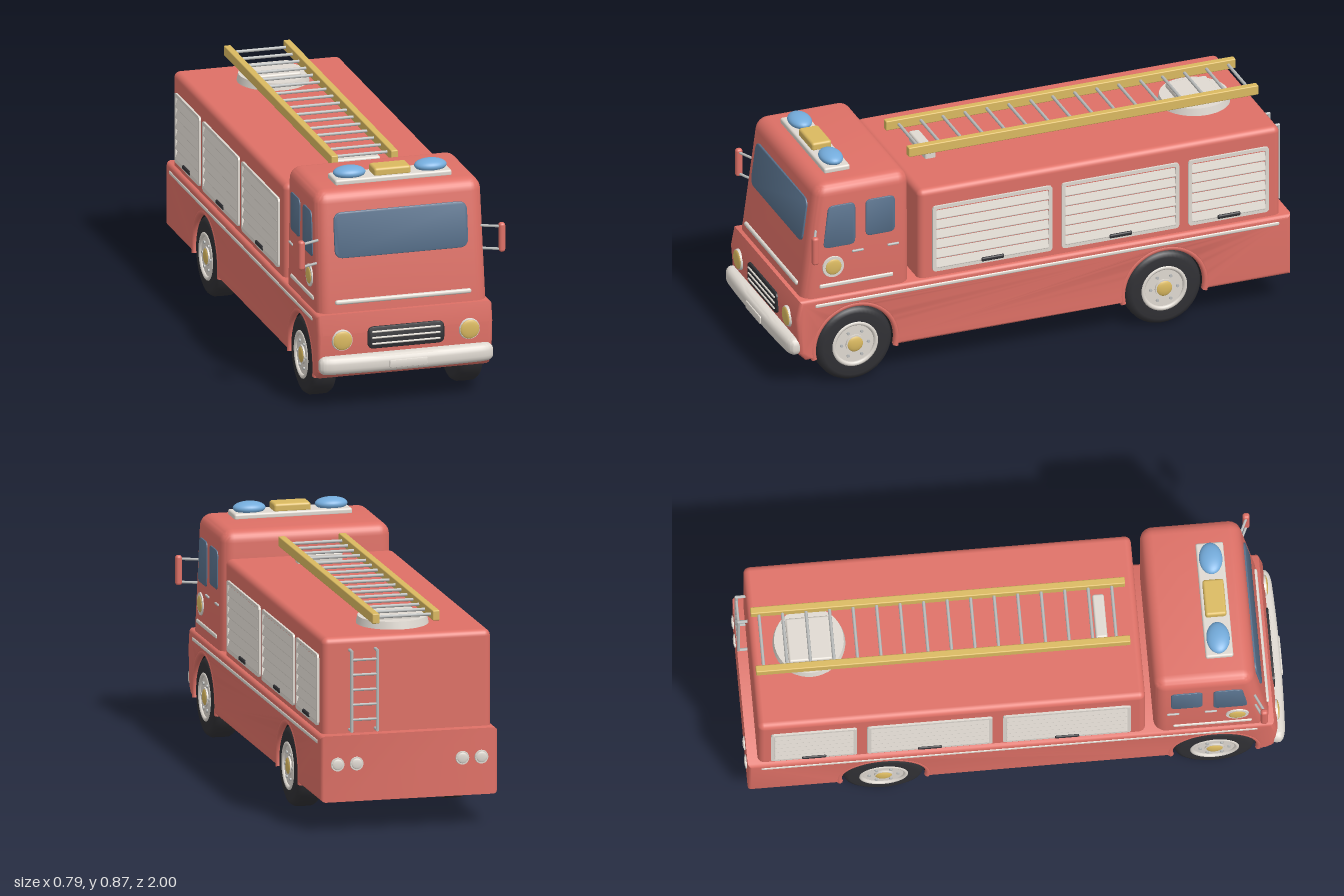
import * as THREE from 'three';
import { toCreasedNormals } from 'three/addons/utils/BufferGeometryUtils.js';
import { RoundedBoxGeometry } from 'three/addons/geometries/RoundedBoxGeometry.js';

const colour = (name, hex) => {
  const m = new THREE.MeshStandardMaterial({ color: hex });
  m.name = name;
  return m;
};
const red = colour('red paint', 0xde7066);
const cream = colour('cream trim', 0xdfd9d1);
const steel = colour('steel', 0xbbbdbc);
const gold = colour('gold', 0xdab960);
const glass = colour('window glass', 0x58718c);
const blue = colour('beacon blue', 0x74acdc);
const black = colour('rubber black', 0x303034);
const well = colour('wheel well black', 0x242427);
well.side = THREE.DoubleSide;

// Polygon with rounded corners
function roundedPoly(pts, r) {
  const v = pts.map(p => new THREE.Vector2(...p));
  const s = new THREE.Shape();
  v.forEach((p, i) => {
    const toward = q => p.clone().add(q.clone().sub(p).setLength(r));
    const a = toward(v[(i + v.length - 1) % v.length]), b = toward(v[(i + 1) % v.length]);
    i ? s.lineTo(a.x, a.y) : s.moveTo(a.x, a.y);
    s.quadraticCurveTo(p.x, p.y, b.x, b.y);
  });
  s.closePath();
  return s;
}
const rect = (w, h) => [[-w / 2, -h / 2], [w / 2, -h / 2], [w / 2, h / 2], [-w / 2, h / 2]];

// Extrusion whose bevel stays inside the outline; back at z = 0
function extrude(shape, depth, bevel = 0, curveSegments = 8) {
  const g = new THREE.ExtrudeGeometry(shape, {
    depth: depth - 2 * bevel, bevelEnabled: bevel > 0, bevelThickness: bevel,
    bevelSize: bevel, bevelOffset: -bevel, bevelSegments: 4, curveSegments
  });
  g.translate(0, 0, bevel);
  return toCreasedNormals(g, 0.6);
}

export function createModel() {
  const truck = new THREE.Group();
  truck.name = 'fireEngine';
  const add = (name, geo, mat, x = 0, y = 0, z = 0, parent = truck) => {
    const m = new THREE.Mesh(geo, mat);
    m.name = name;
    m.position.set(x, y, z);
    parent.add(m);
    return m;
  };
  const rod = (name, a, b, r, mat) => {
    const p = new THREE.Vector3(...a), q = new THREE.Vector3(...b), d = q.clone().sub(p);
    const m = add(name, new THREE.CylinderGeometry(r, r, d.length(), 8), mat);
    m.position.copy(p).lerp(q, 0.5);
    m.quaternion.setFromUnitVectors(new THREE.Vector3(0, 1, 0), d.normalize());
  };
  const box = (w, h, d, r) => new RoundedBoxGeometry(w, h, d, 4, r);

  // Round lamp with bezel, facing local +z
  const lamp = (name, x, y, z, turn, r, lensR, mat) => {
    const g = new THREE.Group();
    g.name = name;
    g.position.set(x, y, z);
    g.rotation.y = turn;
    truck.add(g);
    add('bezel', new THREE.CylinderGeometry(r * 0.92, r, 0.012, 32), cream, 0, 0, 0, g).rotation.x = Math.PI / 2;
    const lens = add('lens', new THREE.SphereGeometry(lensR, 24, 8, 0, Math.PI * 2, 0, Math.PI / 2), mat, 0, 0, 0.006, g);
    lens.rotation.x = Math.PI / 2;
    lens.scale.y = 0.2;
  };

  const axles = [0.727, -0.489], axleY = 0.15, arch = 0.156, floor = 0.116;
  const dip = Math.asin((axleY - floor) / arch);

  // Lower body with wheel arches, drawn from the side
  const side = new THREE.Shape();
  side.moveTo(-0.988, 0.364);
  side.lineTo(-0.988, floor);
  for (const z of [...axles].reverse()) side.absarc(z, axleY, arch, Math.PI + dip, -dip, true);
  for (const p of [[0.92, floor], [0.948, 0.145], [0.96, 0.29], [0.946, 0.364]]) side.lineTo(...p);
  side.closePath();
  const lower = extrude(side, 0.67, 0.018, 24);
  lower.rotateY(-Math.PI / 2).translate(0.335, 0, 0);
  add('lowerBody', lower, red);

  // Wheel wells, arch lips and wheels
  const tyre = new THREE.LatheGeometry([[0.085, -0.05], [0.125, -0.05], [0.14, -0.044], [0.149, -0.03], [0.15, 0],
    [0.149, 0.03], [0.14, 0.044], [0.125, 0.05], [0.085, 0.05]].map(p => new THREE.Vector2(...p)), 48);
  tyre.rotateZ(-Math.PI / 2);
  const liner = new THREE.CylinderGeometry(arch - 0.002, arch - 0.002, 0.63, 32, 1, true, -dip, Math.PI + 2 * dip);
  liner.rotateZ(Math.PI / 2);
  for (const z of axles) {
    add('wheelWell', liner, well, 0, axleY, z);
    for (const s of [1, -1]) {
      const lip = new THREE.TorusGeometry(0.164, 0.011, 10, 36, Math.PI + 2 * dip);
      lip.rotateZ(-dip).rotateY(Math.PI / 2);
      add('archLip', lip, red, s * 0.325, axleY, z);
      const wheel = new THREE.Group();
      wheel.name = 'wheel';
      wheel.position.set(s * 0.28, axleY, z);
      wheel.rotation.y = s > 0 ? 0 : Math.PI;
      truck.add(wheel);
      add('tyre', tyre, black, 0, 0, 0, wheel);
      add('rim', new THREE.CylinderGeometry(0.09, 0.09, 0.09, 36).rotateZ(Math.PI / 2), cream, 0, 0, 0, wheel);
      add('rimEdge', new THREE.TorusGeometry(0.083, 0.009, 8, 40).rotateY(Math.PI / 2), cream, 0.045, 0, 0, wheel);
      add('hubCollar', new THREE.CylinderGeometry(0.036, 0.036, 0.01, 28).rotateZ(Math.PI / 2), cream, 0.046, 0, 0, wheel);
      const hub = add('hub', new THREE.SphereGeometry(0.032, 20, 12), gold, 0.048, 0, 0, wheel);
      hub.scale.x = 0.3;
      for (let i = 0; i < 6; i++) {
        const a = i * Math.PI / 3;
        add('bolt', new THREE.CylinderGeometry(0.006, 0.006, 0.008, 8).rotateZ(Math.PI / 2), steel,
          0.047, 0.053 * Math.sin(a), 0.053 * Math.cos(a), wheel);
      }
    }
  }

  // Cab: rounded box with its front leaning back and its sides flaring slightly
  const lean = 0.13, frontZ = y => 0.875 + lean * (0.79 - y), tilt = -Math.atan(lean);
  const cab = box(0.638, 0.514, 0.369, 0.045);
  cab.translate(0, 0.557, 0.6905);
  const pos = cab.attributes.position;
  for (let i = 0; i < pos.count; i++) {
    const drop = 0.79 - pos.getY(i);
    pos.setX(i, pos.getX(i) * (1 + 0.035 * drop));
    if (pos.getZ(i) > 0.69) pos.setZ(i, pos.getZ(i) + lean * drop);
  }
  add('cab', toCreasedNormals(cab, 0.6), red);
  add('windscreen', extrude(roundedPoly(rect(0.51, 0.172), 0.035), 0.009, 0.003), glass, 0, 0.65, frontZ(0.65) - 0.003).rotation.x = tilt;
  add('frontTrim', box(0.52, 0.018, 0.018, 0.008), cream, 0, 0.403, frontZ(0.403)).rotation.x = tilt;

  // Rear equipment box
  add('equipmentBox', box(0.638, 0.423, 1.424, 0.024), red, 0, 0.5115, -0.238);

  // Grille, headlights and bumper
  add('grille', extrude(roundedPoly(rect(0.293, 0.084), 0.025), 0.012, 0.004), black, 0, 0.268, 0.953);
  for (const y of [0.291, 0.268, 0.245]) add('grilleBar', box(0.262, 0.007, 0.01, 0.003), cream, 0, y, 0.965);
  for (const s of [1, -1]) lamp('headlight', s * 0.243, 0.268, 0.96, 0, 0.041, 0.036, gold);
  const plan = new THREE.Shape();
  plan.moveTo(-0.3, 0.92);
  plan.lineTo(0.3, 0.92);
  plan.quadraticCurveTo(0.334, 0.925, 0.332, 0.965);
  plan.quadraticCurveTo(0.33, 0.985, 0.28, 0.99);
  plan.quadraticCurveTo(0, 1.004, -0.28, 0.99);
  plan.quadraticCurveTo(-0.33, 0.985, -0.332, 0.965);
  plan.quadraticCurveTo(-0.334, 0.925, -0.3, 0.92);
  add('bumper', extrude(plan, 0.068, 0.025, 12).rotateX(Math.PI / 2), cream, 0, 0.209, 0);
  add('numberPlate', extrude(roundedPoly(rect(0.146, 0.03), 0.006), 0.009, 0.003), cream, 0, 0.173, 0.992);

  // Roof light bar
  add('lightBarBase', box(0.446, 0.024, 0.102, 0.008), cream, 0, 0.821, 0.755);
  add('centreLight', box(0.14, 0.034, 0.078, 0.01), gold, 0, 0.844, 0.755);
  for (const s of [1, -1])
    add('beacon', new THREE.SphereGeometry(1, 32, 20), blue, s * 0.155, 0.845, 0.755).scale.set(0.061, 0.024, 0.043);

  // Both sides: windows, trim, shutters and mirrors
  for (const s of [1, -1]) {
    const turn = s * Math.PI / 2;
    const sideWindow = (name, pts) => {
      const shape = roundedPoly(pts.map(([z, y]) => [-s * z, y]), 0.022);
      add(name, extrude(shape, 0.009, 0.002), glass, s * 0.3155).rotation.y = turn;
    };
    sideWindow('frontSideWindow', [[0.724, 0.56], [0.85, 0.56], [0.83, 0.73], [0.724, 0.73]]);
    sideWindow('rearSideWindow', [[0.568, 0.583], [0.683, 0.583], [0.683, 0.73], [0.568, 0.73]]);
    for (const z of [0.714, 0.575]) add('doorHandle', box(0.014, 0.009, 0.046, 0.004), steel, s * 0.321, 0.53, z);
    add('cabSideTrim', box(0.014, 0.017, 0.29, 0.006), cream, s * 0.321, 0.407, 0.72);
    add('bodySideTrim', box(0.014, 0.016, 1.826, 0.006), cream, s * 0.331, 0.335, -0.027);
    lamp('sideLamp', s * 0.321, 0.481, 0.811, turn, 0.045, 0.031, gold);

    // Roller shutters with overlapping slats that face slightly upward
    for (const [z0, z1] of [[-0.05, 0.42], [-0.549, -0.088], [-0.902, -0.586]]) {
      const mid = (z0 + z1) / 2, len = z1 - z0;
      const frame = roundedPoly(rect(len, 0.267), 0.014);
      frame.holes.push(roundedPoly(rect(len - 0.026, 0.241), 0.008));
      add('shutterFrame', extrude(frame, 0.012), cream, s * 0.315, 0.52, mid).rotation.y = turn;
      for (let i = 0; i < 6; i++)
        add('shutterSlat', box(0.01, 0.048, len - 0.024, 0.0045), cream,
          s * 0.3175, 0.421 + i * 0.04, mid).rotation.z = s * 0.3;
      add('shutterHandle', box(0.014, 0.016, 0.09, 0.006), black, s * 0.326, 0.402, mid);
    }

    add('mirror', box(0.024, 0.112, 0.026, 0.01), red, s * 0.383, 0.591, 0.905);
    for (const y of [0.633, 0.546]) rod('mirrorArm', [s * 0.376, y, 0.905], [s * 0.3, y, 0.87], 0.005, steel);

    // Ladder rail and tail lights
    add('ladderRail', box(0.027, 0.038, 1.376, 0.004), gold, s * 0.114, 0.784, -0.252);
    for (const x of [0.2, 0.272]) lamp('tailLight', s * x, 0.257, -0.987, Math.PI, 0.027, 0.02, cream);
  }

  // Roof ladder rungs, turntable and rest
  for (let i = 0; i < 16; i++) {
    const z = 0.386 - i * 0.0864;
    rod('ladderRung', [-0.114, 0.784, z], [0.114, 0.784, z], 0.006, steel);
  }
  add('turntable', new THREE.CylinderGeometry(0.128, 0.134, 0.03, 40), cream, 0, 0.736, -0.735);
  add('turntableBlock', box(0.17, 0.03, 0.16, 0.008), cream, 0, 0.754, -0.735);
  add('ladderRest', box(0.17, 0.046, 0.043, 0.008), cream, 0, 0.736, 0.334);

  // Rear climbing ladder
  for (const x of [0.12, 0.217]) {
    rod('rearRail', [x, 0.375, -0.983], [x, 0.678, -0.983], 0.006, steel);
    for (const y of [0.378, 0.676]) rod('rearRailMount', [x, y, -0.986], [x, y, -0.94], 0.006, steel);
  }
  for (let i = 0; i < 5; i++) rod('rearRung', [0.12, 0.42 + i * 0.056, -0.983], [0.217, 0.42 + i * 0.056, -0.983], 0.005, steel);

  return truck;
}
